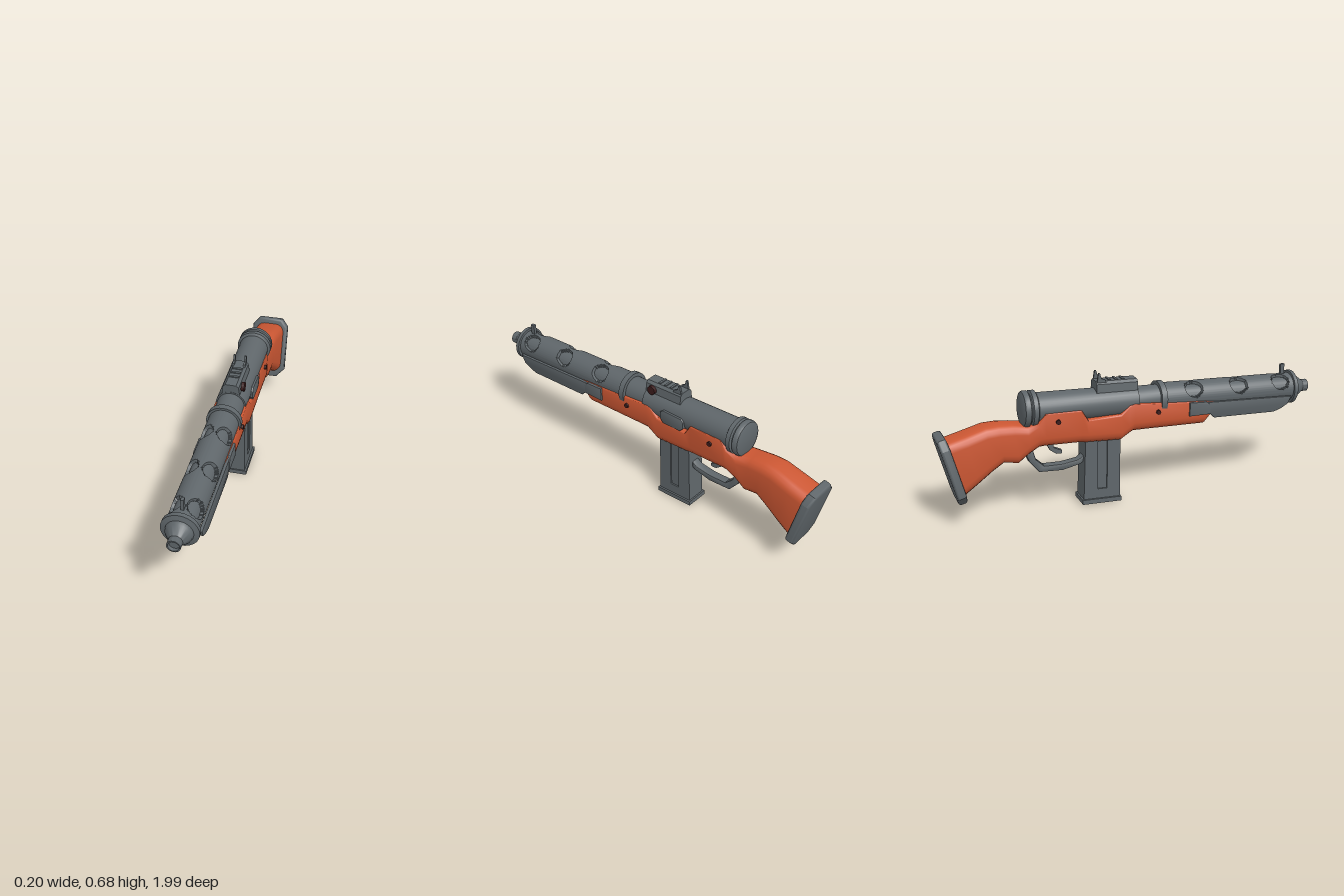
import * as THREE from 'three';
import { toCreasedNormals } from 'three/addons/utils/BufferGeometryUtils.js';

const mat = (name, color) => Object.assign(new THREE.MeshStandardMaterial({ color }), { name });

export function createModel() {
  const steel = mat('gunmetal grey', 0x5f666a);
  const wood = mat('orange wood', 0xcc5733);
  const dark = mat('dark maroon', 0x3b1c1c);
  const model = new THREE.Group();
  model.name = 'rifle';

  const add = (name, geo, material, parent = model, crease = 0.6) => {
    const m = new THREE.Mesh(toCreasedNormals(geo, crease), material);
    m.name = name;
    parent.add(m);
    return m;
  };
  // Side profile of [z, y] points, extruded across x and centred on x = cx
  const profile = (pts, width, cx = 0, bevel = 0) => {
    const shape = new THREE.Shape(pts.map(p => new THREE.Vector2(p[0], p[1])));
    const depth = width - 2 * bevel;
    const g = new THREE.ExtrudeGeometry(shape, {
      depth, bevelEnabled: bevel > 0, bevelSize: bevel, bevelThickness: bevel, bevelOffset: -bevel, bevelSegments: 2,
    });
    return g.translate(0, 0, -depth / 2).rotateY(-Math.PI / 2).translate(cx, 0, 0);
  };
  // Turned part along z from [radius, z] points, z rising
  const turned = (pts, sides = 28) =>
    new THREE.LatheGeometry(pts.map(p => new THREE.Vector2(p[0], p[1])), sides).rotateX(Math.PI / 2);
  const box = (w, h, d, x, y, z) => new THREE.BoxGeometry(w, h, d).translate(x, y, z);

  // ---- Barrel assembly, tipped slightly nose down ----
  const barrel = new THREE.Group();
  barrel.name = 'barrelAssembly';
  barrel.position.y = 0.51;
  barrel.rotation.x = 0.045;
  model.add(barrel);

  // Jacket with three pairs of round recesses pressed into the upper sides
  const R = 0.075, holeR = 0.049;
  const jacket = new THREE.CylinderGeometry(R, R, 0.77, 88, 130, true).rotateX(Math.PI / 2).translate(0, 0, 0.52);
  const pos = jacket.attributes.position;
  for (let i = 0; i < pos.count; i++) {
    let ang = Math.atan2(pos.getY(i), pos.getX(i)), z = pos.getZ(i), r = R;
    for (const hz of [0.31, 0.565, 0.81]) for (const ha of [Math.PI / 4, 3 * Math.PI / 4]) {
      const s = (ang - ha) * R, dz = z - hz, d = Math.hypot(s, dz);
      if (d < holeR) r = 0.06;
      else if (d < holeR + 0.005) {
        ang = ha + s * holeR / d / R;
        z = hz + dz * holeR / d;
      }
    }
    pos.setXYZ(i, r * Math.cos(ang), r * Math.sin(ang), z);
  }
  add('barrelJacket', jacket, steel, barrel);

  add('muzzle', turned([[0, 0.885], [0.088, 0.885], [0.088, 0.905], [0.064, 0.912], [0.06, 0.928], [0.032, 0.968],
    [0.032, 1], [0.026, 1], [0.024, 0.985], [0, 0.985]]), steel, barrel);
  add('barrelBand', turned([[0.06, 0.125], [0.087, 0.125], [0.087, 0.155], [0.06, 0.155]]), steel, barrel);
  add('barrelNeck', turned([[0.068, -0.01], [0.068, 0.14]]), steel, barrel);
  add('receiver', turned([[0, -0.55], [0.076, -0.55], [0.076, 0.008], [0.06, 0.008]]), steel, barrel);
  add('rearCap', turned([[0, -0.578], [0.068, -0.578], [0.084, -0.572], [0.089, -0.562], [0.089, -0.546], [0.078, -0.54],
    [0.078, -0.537], [0.089, -0.532], [0.089, -0.51], [0.075, -0.502]]), steel, barrel);

  // ---- Sights ----
  add('frontSight', box(0.015, 0.08, 0.022, 0, 0.56, 0.848), steel);
  add('sightBase', (() => {
    const s = new THREE.Shape([[-0.045, 0], [0.045, 0], [0.04, 0.042], [0.027, 0.054], [-0.027, 0.054], [-0.04, 0.042]]
      .map(p => new THREE.Vector2(...p)));
    return new THREE.ExtrudeGeometry(s, { depth: 0.215, bevelEnabled: false }).translate(0, 0.063, -0.208);
  })(), steel, barrel, 0.3);
  for (const z of [-0.065, -0.1, -0.135])
    add('sightRung', box(0.05, 0.008, 0.012, 0, 0.118, z), steel, barrel);
  for (const side of [-1, 1])
    add('sightEar', profile([[-0.205, 0.1], [-0.15, 0.1], [-0.163, 0.125], [-0.182, 0.132], [-0.19, 0.158], [-0.198, 0.158]],
      0.01, side * 0.028), steel, barrel);
  add('sightKnob', new THREE.CylinderGeometry(0.023, 0.023, 0.016, 14).rotateZ(Math.PI / 2).translate(0.053, 0.597, -0.035), dark);
  add('sightKnobStem', new THREE.CylinderGeometry(0.008, 0.008, 0.03, 8).rotateZ(Math.PI / 2).translate(0.035, 0.597, -0.035), dark);

  // ---- Ejection cover on the left side ----
  add('ejectionCover', profile([[-0.112, 0.485], [-0.112, 0.52], [-0.13, 0.535], [-0.24, 0.535], [-0.256, 0.52],
    [-0.256, 0.485], [-0.235, 0.464], [-0.13, 0.464]], 0.03, 0.07, 0.005), steel);

  // ---- Wooden stock: sections of [topZ, topY, bottomZ, bottomY, halfWidth, topRadius] ----
  const sections = [
    [0.425, 0.473, 0.415, 0.41, 0.074, 0.01], [0.37, 0.48, 0.367, 0.35, 0.08, 0.01],
    [0.1, 0.503, 0.1, 0.36, 0.08, 0.01], [-0.02, 0.515, -0.02, 0.364, 0.08, 0.01],
    [-0.045, 0.51, -0.045, 0.35, 0.08, 0.01], [-0.09, 0.468, -0.085, 0.325, 0.08, 0.01],
    [-0.262, 0.463, -0.262, 0.337, 0.08, 0.01], [-0.295, 0.52, -0.295, 0.342, 0.08, 0.01],
    [-0.475, 0.525, -0.475, 0.35, 0.08, 0.01], [-0.505, 0.482, -0.505, 0.347, 0.077, 0.02],
    [-0.56, 0.464, -0.555, 0.315, 0.07, 0.04], [-0.63, 0.478, -0.605, 0.276, 0.068, 0.045],
    [-0.7, 0.484, -0.68, 0.29, 0.072, 0.045], [-0.76, 0.482, -0.735, 0.257, 0.075, 0.045],
    [-0.86, 0.455, -0.81, 0.203, 0.078, 0.045], [-0.96, 0.43, -0.885, 0.15, 0.078, 0.045],
  ];
  const verts = [], idx = [], STEPS = 4, N = 4 * (STEPS + 1);
  for (const [zt, yt, zb, yb, w, rt] of sections) {
    const h = yt - yb, rb = Math.min(0.05, h * 0.45);
    for (let c = 0; c < 4; c++) for (let k = 0; k <= STEPS; k++) {
      const a = (c + k / STEPS) * Math.PI / 2, r = c < 2 ? rt : rb;
      const sx = c === 0 || c === 3 ? 1 : -1;
      const x = sx * (w - r) + r * Math.cos(a);
      const t = ((c < 2 ? h - r : r) + r * Math.sin(a)) / h;
      verts.push(x, yb + t * h, zb + t * (zt - zb));
    }
  }
  for (let i = 0; i < sections.length - 1; i++) for (let j = 0; j < N; j++) {
    const a = i * N + j, b = i * N + (j + 1) % N;
    idx.push(a, a + N, b, b, a + N, b + N);
  }
  const last = (sections.length - 1) * N;
  for (let j = 1; j < N - 1; j++) idx.push(0, j, j + 1, last, last + j + 1, last + j);
  const stock = new THREE.BufferGeometry();
  stock.setAttribute('position', new THREE.Float32BufferAttribute(verts, 3));
  stock.setIndex(idx);
  add('stock', stock, wood, model, 0.7);

  // ---- Butt plate, chamfered at its corners ----
  const plate = new THREE.Shape([[-0.055, -0.174], [0.055, -0.174], [0.1, -0.125], [0.1, 0.13], [0.065, 0.174],
    [-0.065, 0.174], [-0.1, 0.13], [-0.1, -0.125]].map(p => new THREE.Vector2(...p)));
  const butt = add('buttPlate', new THREE.ExtrudeGeometry(plate, {
    depth: 0.02, bevelSize: 0.014, bevelOffset: -0.014, bevelThickness: 0.013, bevelSegments: 3,
  }).translate(0, 0, -0.01), steel, model, 0.7);
  butt.position.set(0, 0.288, -0.93);
  butt.rotation.x = -0.248;

  // ---- Side guards, clamps and screws on both sides ----
  for (const side of [-1, 1]) {
    add('sideGuard', profile([[0.865, 0.445], [0.845, 0.405], [0.8, 0.382], [0.76, 0.371], [0.415, 0.386], [0.385, 0.415],
      [0.3, 0.42], [0.3, 0.478]], 0.016, side * 0.079, 0.004), steel);
    add('clampPlate', profile([[0.39, 0.41], [0.275, 0.412], [0.275, 0.484], [0.37, 0.478], [0.39, 0.46]],
      0.02, side * 0.08, 0.003), steel);
    for (const [z, y] of [[0.105, 0.457], [-0.415, 0.477]])
      add('screw', new THREE.CylinderGeometry(0.012, 0.012, 0.02, 12).rotateZ(Math.PI / 2).translate(side * 0.079, y, z), dark);
  }

  // ---- Magazine with a grooved plate on each side ----
  add('magazine', profile([[-0.086, 0.36], [-0.092, 0.015], [-0.284, 0.024], [-0.268, 0.37]], 0.086), steel);
  for (const side of [-1, 1])
    add('magazineSide', profile([[-0.086, 0.36], [-0.092, 0.015], [-0.284, 0.024], [-0.268, 0.37], [-0.203, 0.366],
      [-0.21, 0.08], [-0.16, 0.078], [-0.153, 0.364]], 0.009, side * 0.046), steel);
  add('magazineFloor', profile([[-0.086, 0], [-0.292, 0.01], [-0.292, 0.034], [-0.086, 0.023]], 0.12), steel);

  // ---- Trigger and guard ----
  add('triggerGuard', profile([[-0.265, 0.265], [-0.3, 0.242], [-0.38, 0.232], [-0.475, 0.236], [-0.515, 0.275], [-0.535, 0.35],
    [-0.572, 0.33], [-0.55, 0.268], [-0.5, 0.206], [-0.38, 0.198], [-0.29, 0.216], [-0.265, 0.232]], 0.045, 0, 0.006), steel);
  add('trigger', profile([[-0.425, 0.36], [-0.42, 0.32], [-0.378, 0.3], [-0.382, 0.284], [-0.41, 0.287], [-0.44, 0.31],
    [-0.465, 0.36]], 0.025), steel);

  return model;
}
